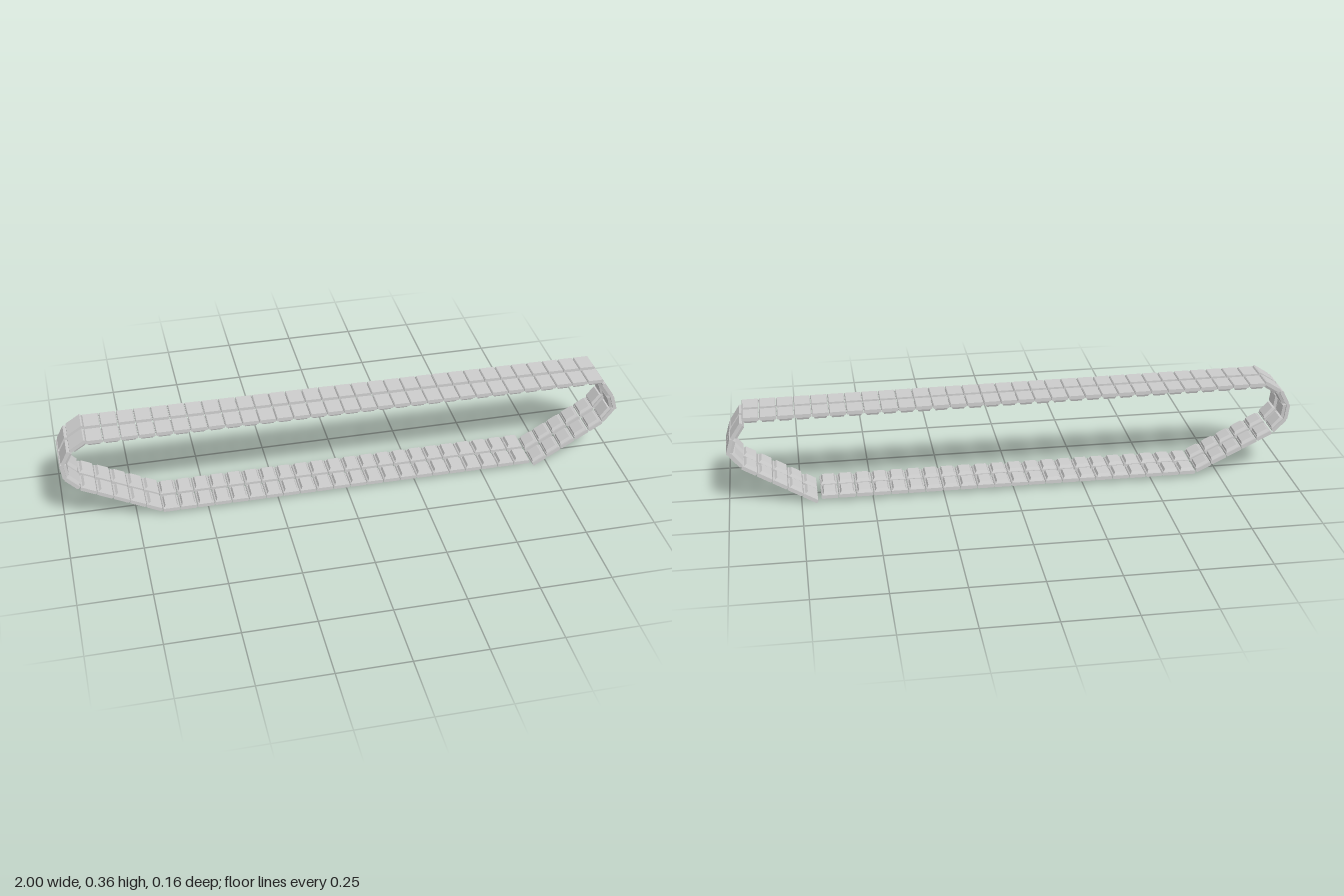
import * as THREE from 'three';

const material = new THREE.MeshStandardMaterial({ color: 0xcccccc, flatShading: true });
const HALF_GAP = 0.008, WIDTH = 0.074;

// Plate cross-section along the track: flat outside (y = 0), chamfered ends
function plateGeometry(length) {
  const h = length / 2 - 0.0008;
  const s = new THREE.Shape([
    [-h + 0.003, 0], [-h, -0.004], [-h, -0.010], [-h + 0.003, -0.013],
    [h - 0.003, -0.013], [h, -0.010], [h, -0.004], [h - 0.003, 0],
  ].map(([x, y]) => new THREE.Vector2(x, y)));
  return new THREE.ExtrudeGeometry(s, { depth: WIDTH, bevelEnabled: false }).translate(0, 0, -WIDTH / 2);
}

// Inner pad: a box whose inward face is tapered
function padGeometry(length) {
  const g = new THREE.BoxGeometry(length - 0.011, 0.011, WIDTH - 0.010);
  const p = g.attributes.position;
  for (let i = 0; i < p.count; i++) {
    if (p.getY(i) < 0) p.setXYZ(i, p.getX(i) * 0.8, p.getY(i), p.getZ(i) * 0.86);
  }
  g.translate(0, -0.0175, 0);
  g.computeVertexNormals();
  return g;
}

// Straight runs of the outer surface, clockwise: x0, y0, x1, y1, link count
const runs = [
  [-0.903, 0.354, 0.937, 0.341, 31],
  [0.943, 0.325, 0.981, 0.267, 1],
  [0.982, 0.266, 0.999, 0.206, 1],
  [0.992, 0.205, 0.952, 0.154, 1],
  [0.952, 0.151, 0.697, 0.000, 5],
  [0.682, 0.016, -0.662, 0.016, 22],
  [-0.666, 0.020, -0.940, 0.156, 5],
  [-0.944, 0.159, -0.990, 0.206, 1],
  [-0.991, 0.207, -0.999, 0.267, 1],
  [-0.995, 0.269, -0.968, 0.322, 1],
  [-0.962, 0.324, -0.906, 0.360, 1],
];

export function createModel() {
  const track = new THREE.Group();
  track.name = 'track';
  for (const [x0, y0, x1, y1, n] of runs) {
    const dx = x1 - x0, dy = y1 - y0;
    const pitch = Math.hypot(dx, dy) / n;
    const plate = plateGeometry(pitch), pad = padGeometry(pitch);
    for (let i = 0; i < n; i++) {
      const t = (i + 0.5) / n;
      const link = new THREE.Group();
      link.name = 'trackLink';
      link.position.set(x0 + dx * t, y0 + dy * t, 0);
      link.rotation.z = Math.atan2(dy, dx);
      // Front and back halves, separated by an open slot
      for (const side of [1, -1]) {
        for (const [name, geometry] of [['linkPlate', plate], ['linkPad', pad]]) {
          const mesh = new THREE.Mesh(geometry, material);
          mesh.name = name;
          mesh.position.z = side * (HALF_GAP + WIDTH / 2);
          link.add(mesh);
        }
      }
      track.add(link);
    }
  }
  return track;
}
